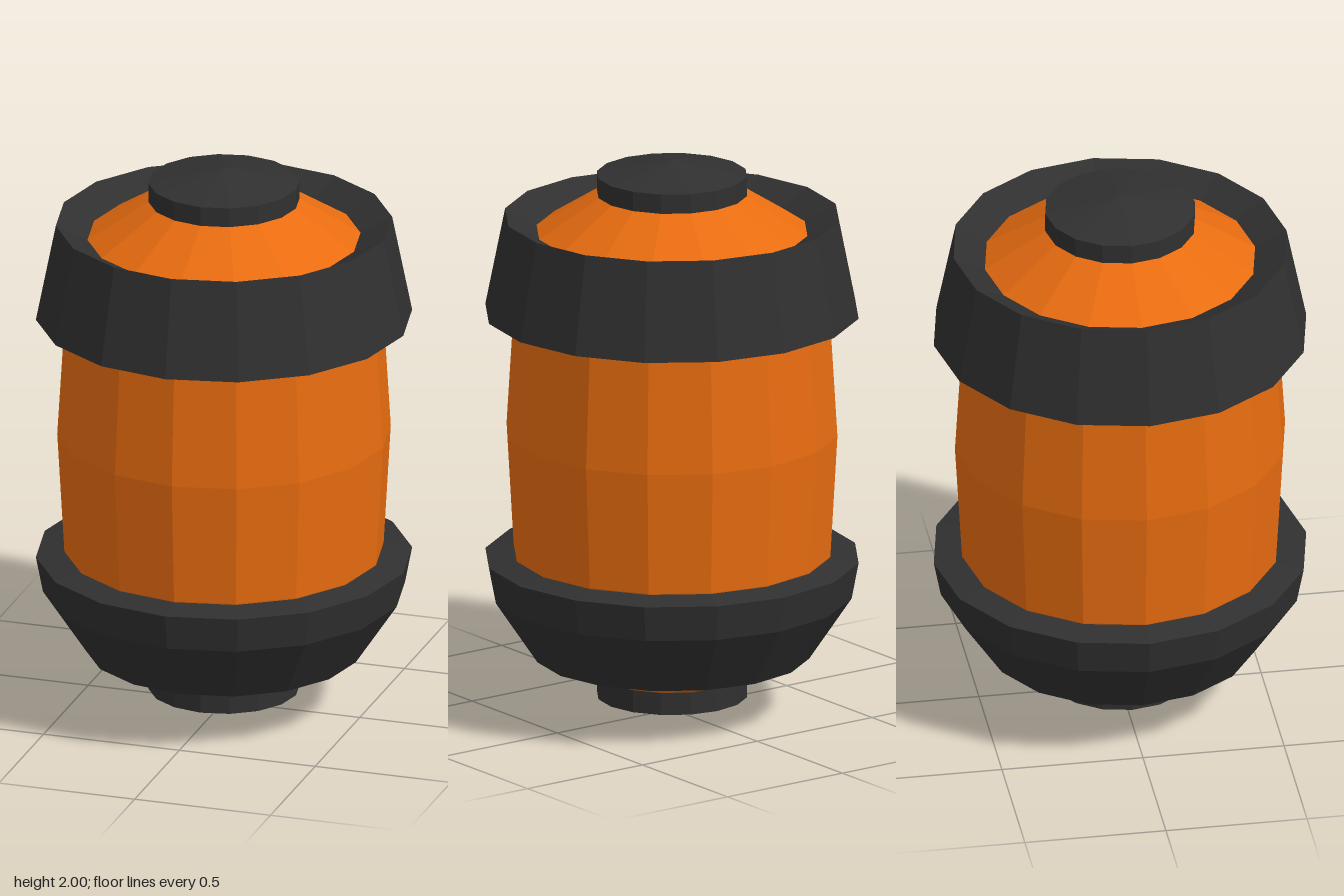
import * as THREE from 'three';

const SIDES = 16;
const orange = new THREE.MeshStandardMaterial({ color: 0xe86c10, flatShading: true });
const dark = new THREE.MeshStandardMaterial({ color: 0x303030, flatShading: true });

// Faceted turned part; the profile lists [radius, height] from bottom to top.
function turned(name, material, profile) {
  const points = profile.map(([r, y]) => new THREE.Vector2(r, y));
  const geometry = new THREE.LatheGeometry(points, SIDES).toNonIndexed();
  geometry.computeVertexNormals();
  const mesh = new THREE.Mesh(geometry, material);
  mesh.name = name;
  return mesh;
}

export function createModel() {
  const group = new THREE.Group();
  group.name = 'barrel';

  group.add(
    // Bulging body with conical ends
    turned('body', orange, [
      [0.24, 0.12], [0.48, 0.275], [0.56, 0.58], [0.585, 1.02],
      [0.56, 1.43], [0.485, 1.74], [0.24, 1.895],
    ]),
    // Upper collar, recessed towards the body on top
    turned('upperCollar', dark, [
      [0.54, 1.43], [0.66, 1.45], [0.59, 1.8], [0.48, 1.745], [0.47, 1.735],
    ]),
    // Lower collar, tapering to the base
    turned('lowerCollar', dark, [
      [0.46, 0.28], [0.475, 0.27], [0.485, 0.205], [0.635, 0.43], [0.66, 0.56], [0.54, 0.58],
    ]),
    // End caps with shallow points
    turned('topCap', dark, [[0, 1.88], [0.265, 1.88], [0.265, 1.95], [0, 2]]),
    turned('bottomCap', dark, [[0, 0], [0.265, 0.055], [0.265, 0.135], [0, 0.135]]),
  );
  return group;
}
